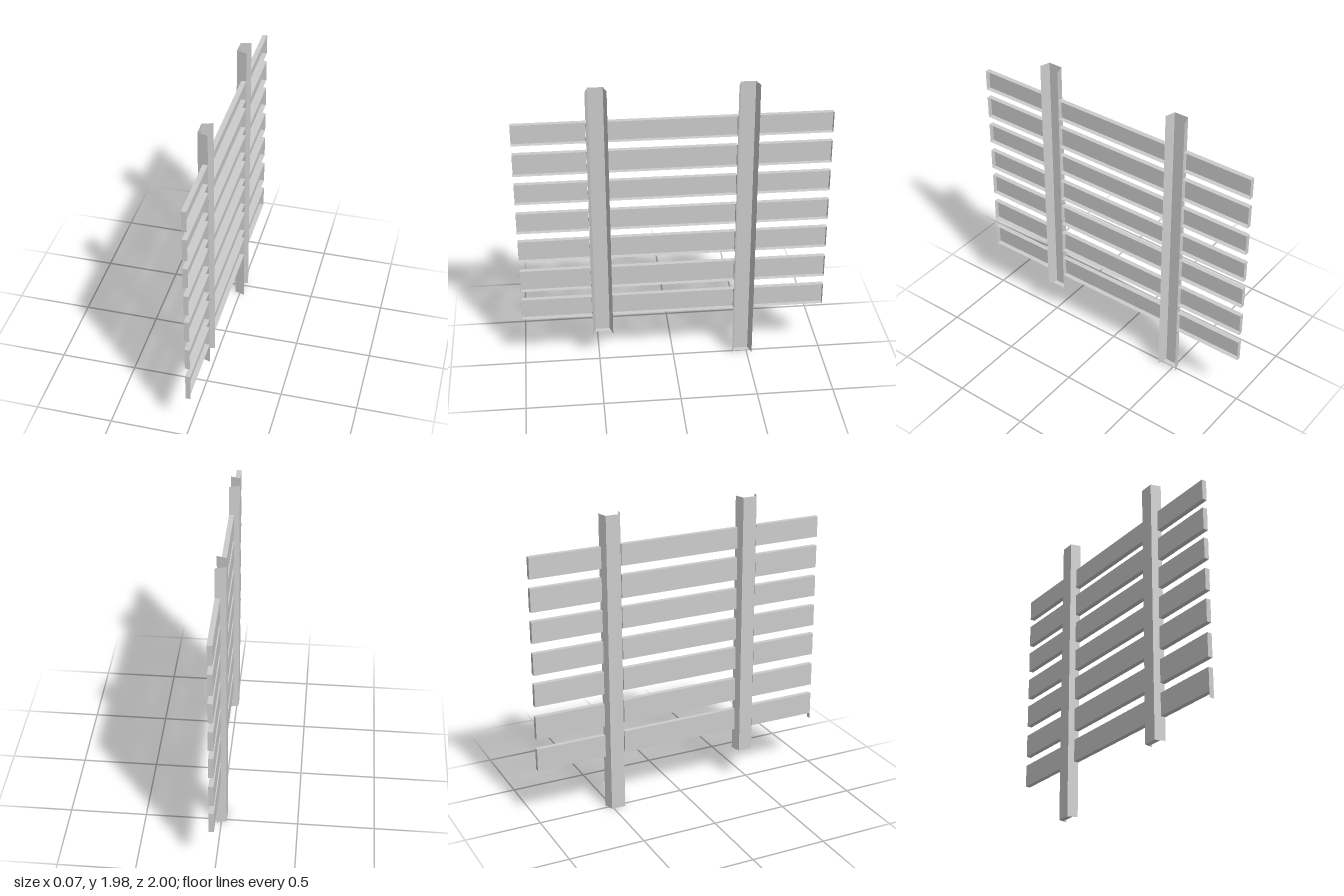
import * as THREE from 'three';
import { mergeGeometries } from 'three/addons/utils/BufferGeometryUtils.js';

const material = new THREE.MeshStandardMaterial({ color: 0xcccccc, side: THREE.DoubleSide, flatShading: true });

const FRONT = 0.032;  // x of the open rim
const WEB = 0;        // x of the slat faces
const BACK = -0.034;  // x of the post faces

// Upright folded sheet along a path of [x, z] points
function foldedSheet(path, y0, y1) {
  const panels = [];
  for (let i = 0; i < path.length - 1; i++) {
    const [ax, az] = path[i], [bx, bz] = path[i + 1];
    const panel = new THREE.PlaneGeometry(Math.hypot(bx - ax, bz - az), y1 - y0);
    panel.rotateY(-Math.atan2(bz - az, bx - ax));
    panel.translate((ax + bx) / 2, (y0 + y1) / 2, (az + bz) / 2);
    panels.push(panel);
  }
  return mergeGeometries(panels);
}

// Flat horizontal sheet with an outline of [x, z] points
function ledge(outline, y) {
  const shape = new THREE.Shape(outline.map(([x, z]) => new THREE.Vector2(x, z)));
  return new THREE.ShapeGeometry(shape).rotateX(Math.PI / 2).translate(0, y, 0);
}

function addMesh(group, name, parts) {
  const mesh = new THREE.Mesh(mergeGeometries(parts), material);
  mesh.name = name;
  group.add(mesh);
}

export function createModel() {
  const model = new THREE.Group();
  model.name = 'slattedFence';

  // Posts: trapezoid channels open to +x, with a small foot ledge
  const posts = [
    { name: 'shortPost', z: 0.473, bottom: 0.22 },
    { name: 'longPost', z: -0.467, bottom: 0 },
  ];
  for (const { name, z, bottom } of posts) {
    const profile = [[FRONT, z - 0.067], [BACK, z - 0.047], [BACK, z + 0.047], [FRONT, z + 0.067]];
    const foot = [[WEB, z - 0.057], [BACK, z - 0.047], [BACK, z + 0.047], [WEB, z + 0.057]];
    addMesh(model, name, [foldedSheet(profile, bottom, 1.98), ledge(foot, bottom)]);
  }

  // Slats: shallow trays between and beyond the posts, rims towards +x
  const rows = [[0.37, 0.52], [0.585, 0.74], [0.81, 0.96], [1.02, 1.163], [1.23, 1.37], [1.43, 1.58], [1.64, 1.778]];
  const spans = [[-1, -0.535], [-0.4, 0.406], [0.541, 1]];
  rows.forEach(([y0, y1], row) => {
    const slat = new THREE.Group();
    slat.name = `slat${row + 1}`;
    for (const [z0, z1] of spans) {
      const tray = [[FRONT, z0], [WEB, z0], [WEB, z1], [FRONT, z1]];
      addMesh(slat, 'slatTray', [foldedSheet(tray, y0, y1), ledge(tray, y0), ledge(tray, y1)]);
    }
    model.add(slat);
  });

  // Small tab hanging below the lowest slat's front end
  addMesh(model, 'endTab', [foldedSheet([[WEB, 1], [FRONT, 1]], 0.33, 0.37)]);

  return model;
}
